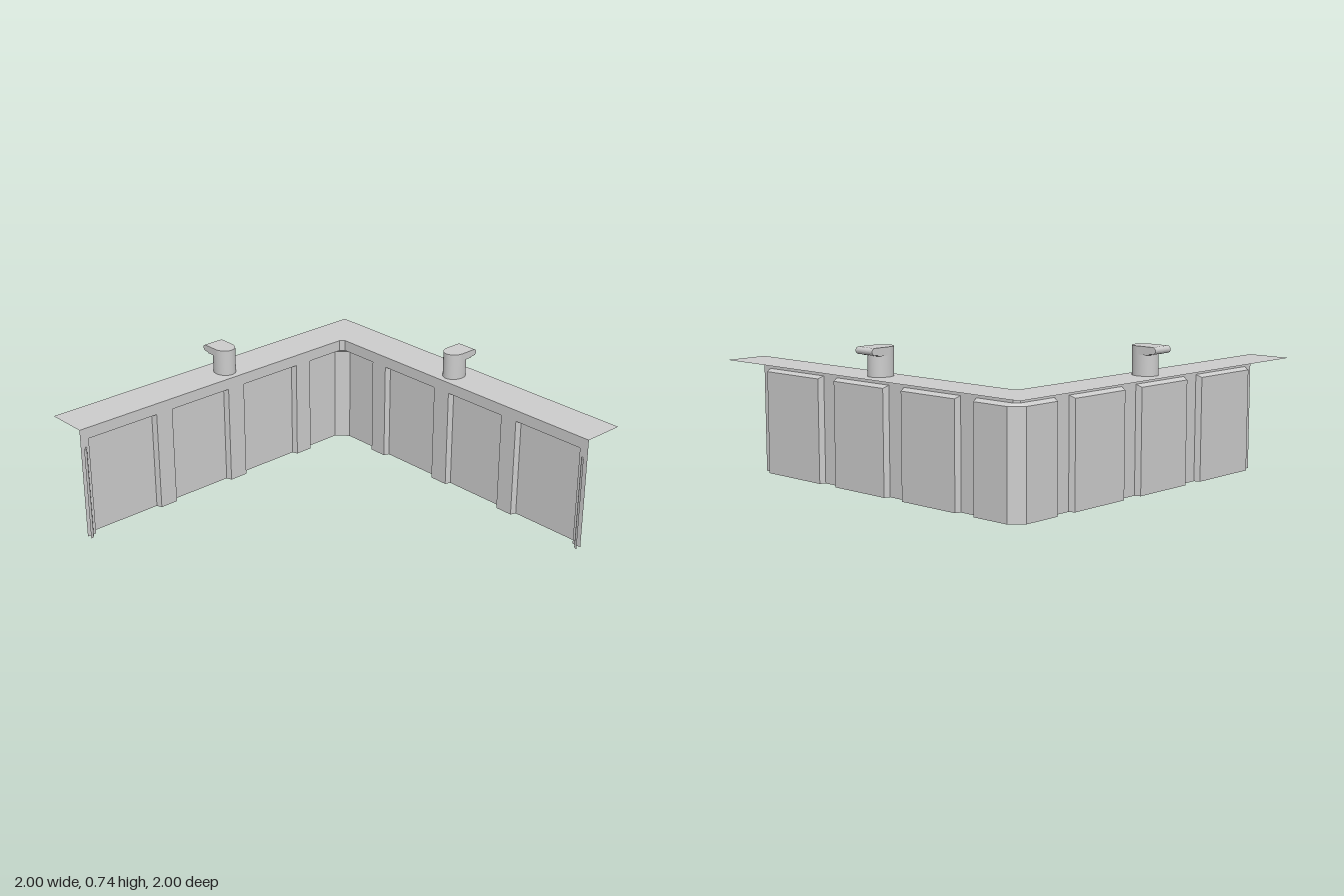
import * as THREE from 'three';

const mat = new THREE.MeshStandardMaterial({ color: 0xcccccc, side: THREE.DoubleSide });
const IN = 0.772;   // distance of the inner wall from the centre
const H = 0.6;      // counter height
const END = 0.75;   // where the inner corner chamfer starts
const REC = 0.742;  // same, on the recessed surface
const D = 0.03;     // recess depth
const BV = 0.01;    // bevel width
const PT = 0.54;    // top of the recesses
const PB = 0.527;   // lower edge of the top bevel

// Wing coordinates (t along the wing, d depth, y); the second wing mirrors the first
const back = (t, d, y) => [t, y, -(IN + d)];
const side = (t, d, y) => [IN + d, y, -t];

function quadMesh(name, quads) {
  const pos = [];
  for (const [a, b, c, d] of quads) pos.push(...a, ...b, ...c, ...a, ...c, ...d);
  const g = new THREE.BufferGeometry();
  g.setAttribute('position', new THREE.Float32BufferAttribute(pos, 3));
  g.computeVertexNormals();
  const m = new THREE.Mesh(g, mat);
  m.name = name;
  return m;
}

// Panelled wall of one wing
function wingWall(name, P, mirrored) {
  const quads = [];
  const add = (...c) => {
    const q = c.map(p => P(...p));
    quads.push(mirrored ? q.reverse() : q);
  };
  const flat = (a, b, y0, y1, d) => add([a, d, y0], [b, d, y0], [b, d, y1], [a, d, y1]);
  const panels = [[-0.95, -0.53], [-0.43, -0.055], [0.05, 0.425], [0.525, END]];

  flat(-1, END, PT, H, 0);                                   // top rail
  let from = -1;
  panels.forEach(([a, b], i) => {
    const corner = i === panels.length - 1;
    const a2 = a + BV, b2 = corner ? REC : b - BV;
    flat(from, a, 0, PT, 0);                                 // pillar
    flat(a2, b2, 0, PB, D);                                  // recessed panel
    add([a, 0, 0], [a2, D, 0], [a2, D, PB], [a, 0, PT]);     // side bevels
    if (!corner) add([b2, D, 0], [b, 0, 0], [b, 0, PT], [b2, D, PB]);
    add([a2, D, PB], [b2, D, PB], [b, 0, PT], [a, 0, PT]);   // top bevel
    from = b;
  });
  return quadMesh(name, quads);
}

// Chamfered strip joining the two wings
function cornerWall() {
  const strip = (t0, d0, y0, t1, d1, y1) =>
    [back(t0, d0, y0), side(t0, d0, y0), side(t1, d1, y1), back(t1, d1, y1)];
  return quadMesh('cornerWall', [
    strip(REC, D, 0, REC, D, PB),
    strip(REC, D, PB, END, 0, PT),
    strip(END, 0, PT, END, 0, H),
  ]);
}

// Flat L-shaped counter
function counterTop() {
  const s = new THREE.Shape([
    [-1, 1], [-1, IN], [END, IN], [IN, END], [IN, -1], [1, -1], [1, 1],
  ].map(p => new THREE.Vector2(...p)));
  const g = new THREE.ShapeGeometry(s);
  g.rotateX(-Math.PI / 2);
  const m = new THREE.Mesh(g, mat);
  m.name = 'counterTop';
  m.position.y = H;
  return m;
}

// Quarter-round post at a wing's end
function endPost(name, x, z, angle) {
  const s = new THREE.Shape();
  s.moveTo(0, 0);
  s.absarc(0, 0, 0.03, -Math.PI / 2, 0, false);
  s.closePath();
  const g = new THREE.ExtrudeGeometry(s, { depth: 0.5, bevelEnabled: false, curveSegments: 8 });
  g.rotateX(-Math.PI / 2);
  const m = new THREE.Mesh(g, mat);
  m.name = name;
  m.position.set(x, 0, z);
  m.rotation.y = angle;
  return m;
}

// Tap: oval body with a flat spout along +x
function tap(name, x, z, angle) {
  const group = new THREE.Group();
  group.name = name;
  const R = 0.057, top = 0.14;
  const body = new THREE.Mesh(new THREE.CylinderGeometry(R, R, top, 32), mat);
  body.name = 'tapBody';
  body.scale.x = 0.065 / R;
  body.position.y = top / 2;

  const s = new THREE.Shape();
  s.moveTo(0, 0.1);
  s.lineTo(0.062, 0.1);
  s.quadraticCurveTo(0.066, 0.106, 0.075, 0.106);
  s.lineTo(0.087, 0.106);
  s.absarc(0.087, 0.123, 0.017, -Math.PI / 2, Math.PI / 2, false);
  s.lineTo(0, top);
  const g = new THREE.ExtrudeGeometry(s, { depth: 2 * R, bevelEnabled: false, curveSegments: 8 });
  g.translate(0, 0, -R);
  const spout = new THREE.Mesh(g, mat);
  spout.name = 'tapSpout';

  group.add(body, spout);
  group.position.set(x, H, z);
  group.rotation.y = angle;
  return group;
}

export function createModel() {
  const model = new THREE.Group();
  model.name = 'cornerCounter';
  model.add(
    counterTop(),
    wingWall('backWall', back, false),
    wingWall('sideWall', side, true),
    cornerWall(),
    endPost('backEndPost', -1, -IN, 0),
    endPost('sideEndPost', IN, 1, Math.PI),
    tap('backTap', 0, -0.87, Math.PI / 2),
    tap('sideTap', 0.87, 0, 0),
  );
  return model;
}
